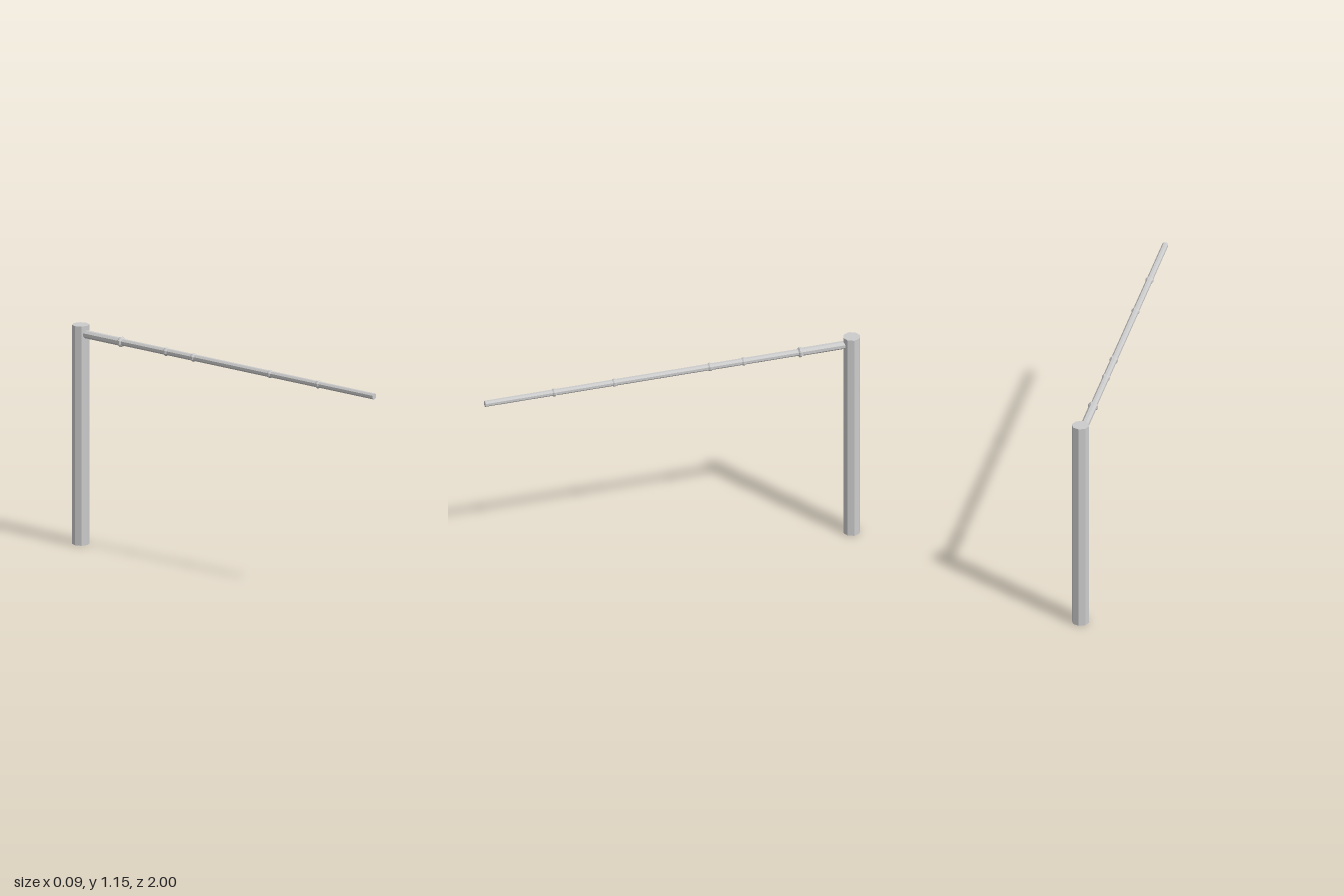
import * as THREE from 'three';

export function createModel() {
  const group = new THREE.Group();
  const material = new THREE.MeshStandardMaterial({ color: 0xcccccc, flatShading: true });
  const sides = 8;

  // Upright post at the back
  const post = new THREE.Mesh(new THREE.CylinderGeometry(0.045, 0.045, 1.15, sides), material);
  post.name = 'post';
  post.position.set(0, 0.575, -0.955);
  group.add(post);

  // Horizontal cane: slightly tapering segments with a raised ring at each joint
  const joints = [
    { z: -0.68, ring: 0.027, next: 0.0175 },
    { z: -0.38, ring: 0.022, next: 0.0175 },
    { z: -0.2, ring: 0.022, next: 0.017 },
    { z: 0.31, ring: 0.021, next: 0.0165 },
    { z: 0.63, ring: 0.021, next: 0.016 },
  ];
  const start = -0.93, end = 1;
  let radius = 0.021;
  const profile = [new THREE.Vector2(0, start), new THREE.Vector2(radius, start)];
  for (const { z, ring, next } of joints) {
    profile.push(
      new THREE.Vector2(radius, z - 0.011),
      new THREE.Vector2(ring, z - 0.004),
      new THREE.Vector2(ring, z + 0.004),
      new THREE.Vector2(next, z + 0.011),
    );
    radius = next;
  }
  profile.push(new THREE.Vector2(radius, end), new THREE.Vector2(0, end));

  const cane = new THREE.Mesh(new THREE.LatheGeometry(profile, sides, Math.PI / 8), material);
  cane.name = 'caneArm';
  cane.rotation.x = Math.PI / 2;
  cane.position.set(-0.004, 1.106, 0);
  group.add(cane);

  return group;
}
